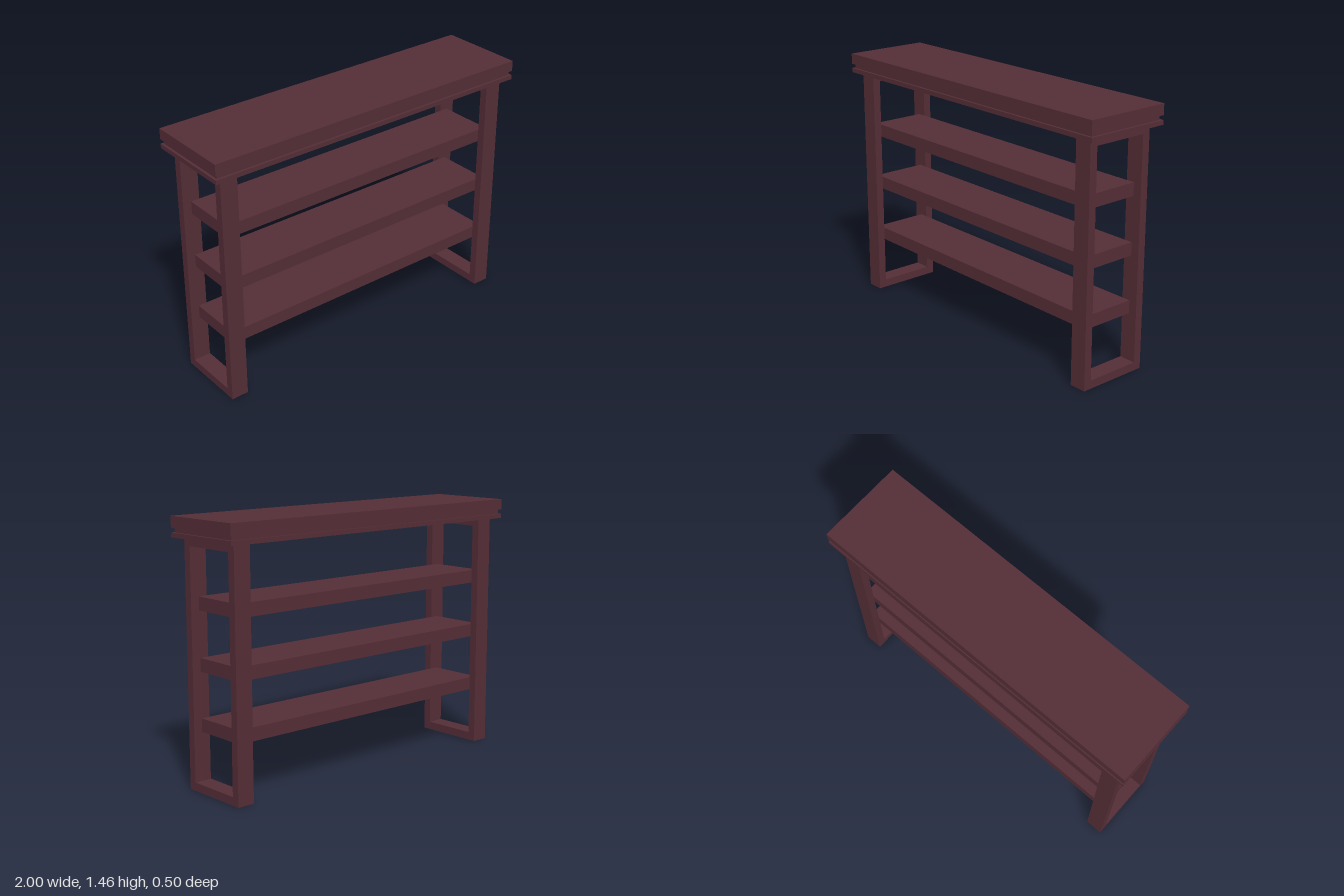
import * as THREE from 'three';

export function createModel() {
  const group = new THREE.Group();
  const wood = new THREE.MeshStandardMaterial({ color: 0x542d36 });
  wood.name = 'dark red wood';

  const add = (name, geometry, x, y) => {
    const mesh = new THREE.Mesh(geometry, wood);
    mesh.name = name;
    mesh.position.set(x, y, 0);
    group.add(mesh);
  };
  // Board centred on x and z, spanning two heights
  const board = (name, width, depth, y0, y1) =>
    add(name, new THREE.BoxGeometry(width, y1 - y0, depth), 0, (y0 + y1) / 2);

  // Rectangular end frame with an open centre, extruded across the model
  const rect = (path, z, y0, y1) =>
    path.moveTo(-z, y0).lineTo(z, y0).lineTo(z, y1).lineTo(-z, y1).closePath();
  const outline = rect(new THREE.Shape(), 0.208, 0, 1.35);
  outline.holes.push(rect(new THREE.Path(), 0.162, 0.047, 1.308));
  const frame = new THREE.ExtrudeGeometry(outline, { depth: 0.1, bevelEnabled: false });
  frame.translate(0, 0, -0.05).rotateY(Math.PI / 2);
  add('leftFrame', frame, 0.9, 0);
  add('rightFrame', frame, -0.9, 0);

  // Three shelves fitted between the posts
  [0.316, 0.643, 0.969].forEach((y, i) => board(`shelf${i + 1}`, 1.8, 0.324, y, y + 0.074));

  // Layered top with a recessed band
  board('lowerTrim', 2, 0.504, 1.35, 1.375);
  board('recessedBand', 1.972, 0.476, 1.375, 1.4);
  board('topSlab', 2, 0.504, 1.4, 1.461);

  return group;
}
